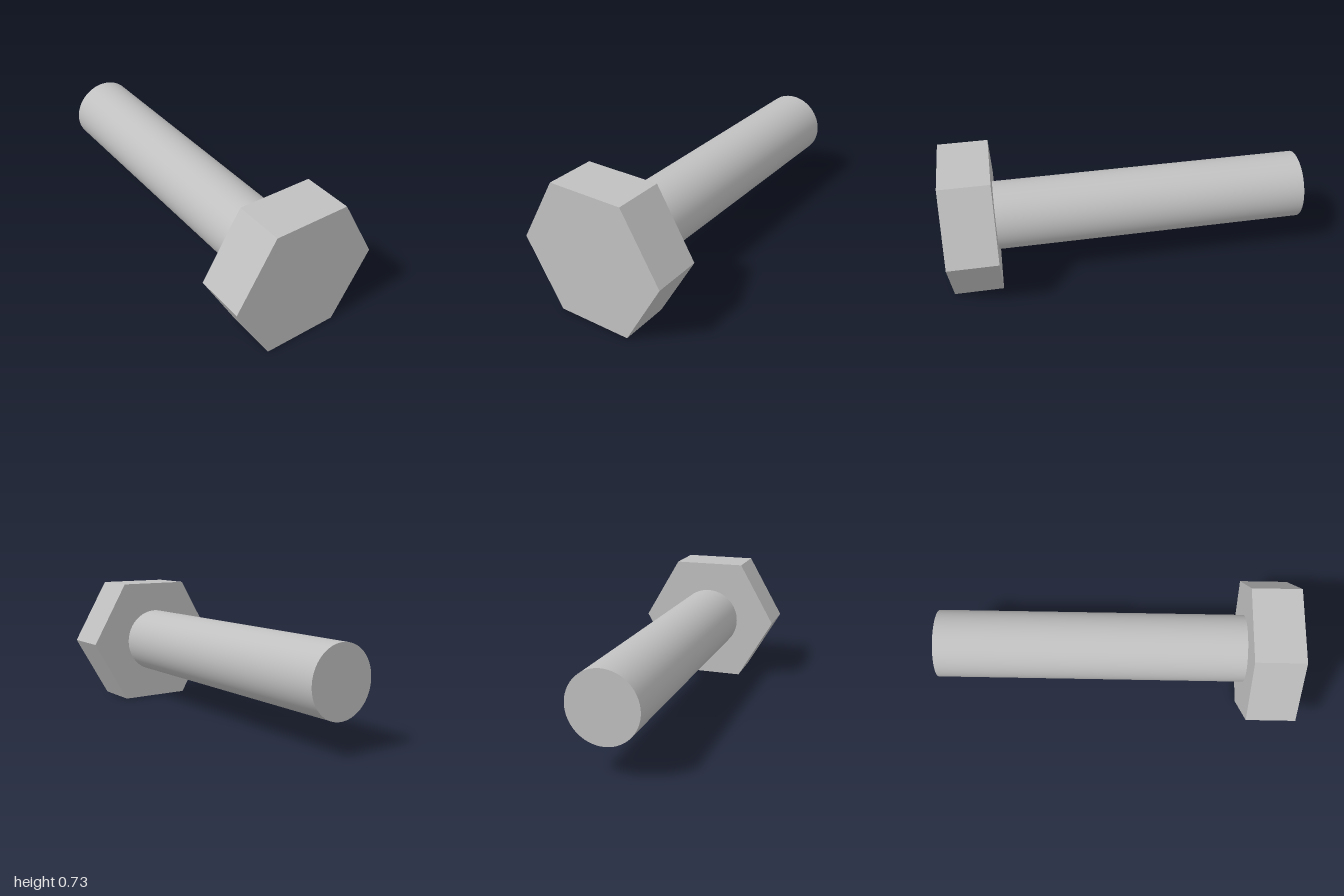
import * as THREE from 'three';

const HEAD_RADIUS = 0.42;
const AXIS_Y = HEAD_RADIUS * Math.cos(Math.PI / 6); // flat side rests on the ground
const HEAD_BACK = 0.727;

// Cylinder or prism lying along z, from zBack to zFront
function rod(radius, zBack, zFront, sides, thetaStart = 0) {
  const g = new THREE.CylinderGeometry(radius, radius, zFront - zBack, sides, 1, false, thetaStart);
  g.rotateX(Math.PI / 2);
  g.translate(0, AXIS_Y, (zBack + zFront) / 2);
  return g;
}

export function createModel() {
  const group = new THREE.Group();
  group.name = 'hexBolt';

  const steel = new THREE.MeshStandardMaterial({ color: 0xc0c0c0 });
  steel.name = 'steel';

  // Hexagonal head with corners at left and right, sharp flat faces
  const headGeometry = rod(HEAD_RADIUS, HEAD_BACK, 1, 6, Math.PI / 6).toNonIndexed();
  headGeometry.computeVertexNormals();
  const head = new THREE.Mesh(headGeometry, steel);
  head.name = 'head';

  // Smooth round shank, set slightly into the head
  const shank = new THREE.Mesh(rod(0.19, -1, HEAD_BACK + 0.02, 64), steel);
  shank.name = 'shank';

  group.add(head, shank);
  return group;
}
